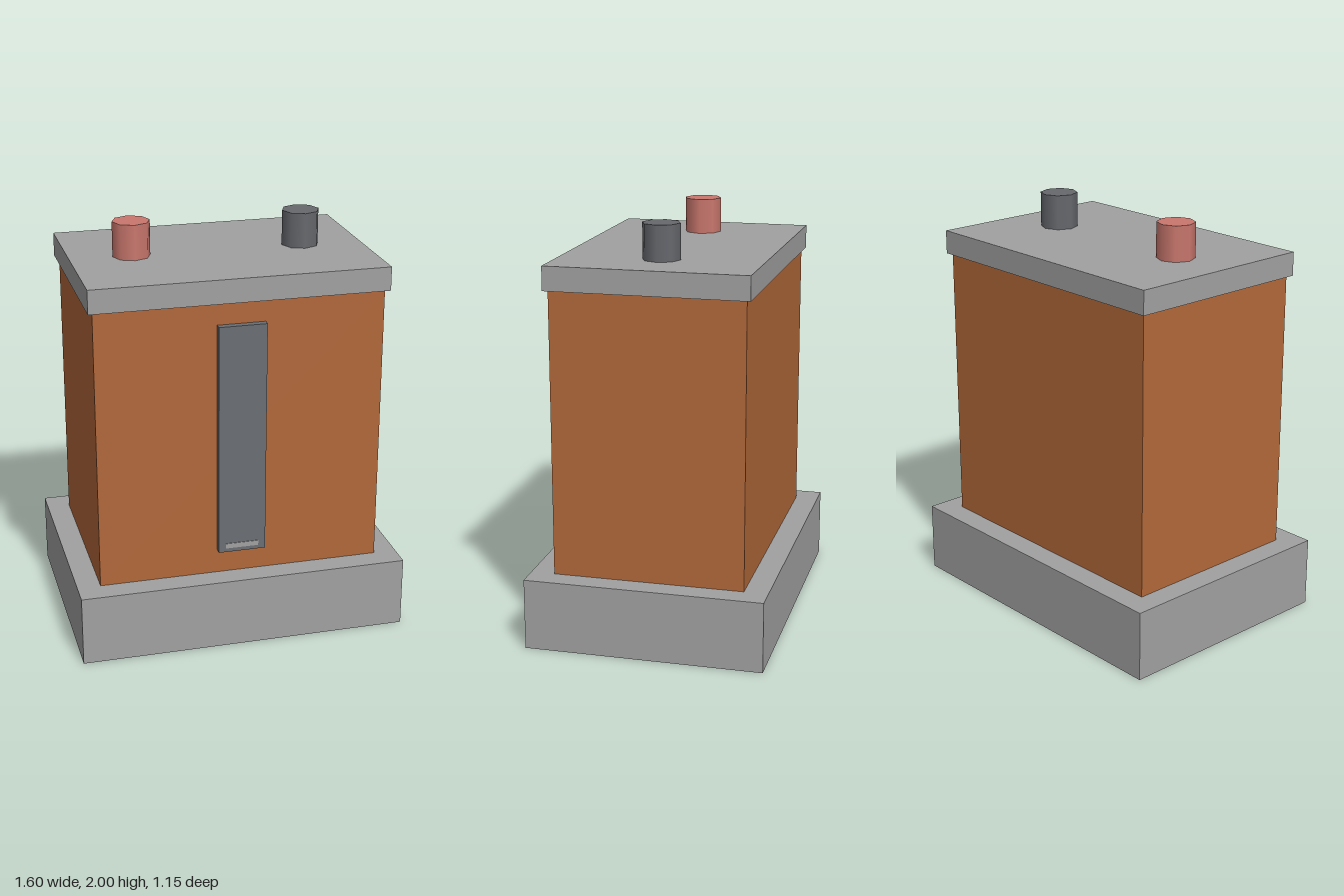
import * as THREE from 'three';

export function createModel() {
  const group = new THREE.Group();
  const material = (name, color) => {
    const m = new THREE.MeshStandardMaterial({ color });
    m.name = name;
    return m;
  };
  const grey = material('light grey', 0xa1a1a1);
  const orange = material('copper orange', 0xb2683a);
  const slate = material('slate grey', 0x6a6e73);
  const dark = material('dark grey', 0x66686d);
  const red = material('faded red', 0xc9776d);

  const add = (name, geometry, mat, x, y, z) => {
    const mesh = new THREE.Mesh(geometry, mat);
    mesh.name = name;
    mesh.position.set(x, y, z);
    group.add(mesh);
  };
  // Box given by its size, bottom height and centre depth
  const box = (name, mat, w, h, d, bottom, z = 0) =>
    add(name, new THREE.BoxGeometry(w, h, d), mat, 0, bottom + h / 2, z);

  // Stacked casing
  box('base', grey, 1.604, 0.345, 1.15, 0);
  box('body', orange, 1.38, 1.37, 0.92, 0.345);
  box('lid', grey, 1.424, 0.115, 0.96, 1.715);

  // Front gauge with its level mark
  box('gaugePanel', slate, 0.23, 1.145, 0.036, 0.465, 0.477);
  box('gaugeMark', grey, 0.16, 0.025, 0.006, 0.485, 0.495);

  // Two eight-sided terminals on the lid
  for (const [name, mat, x] of [['rightTerminal', red, -0.415], ['leftTerminal', dark, 0.415]])
    add(name, new THREE.CylinderGeometry(0.091, 0.091, 0.17, 8), mat, x, 1.915, 0);

  return group;
}
